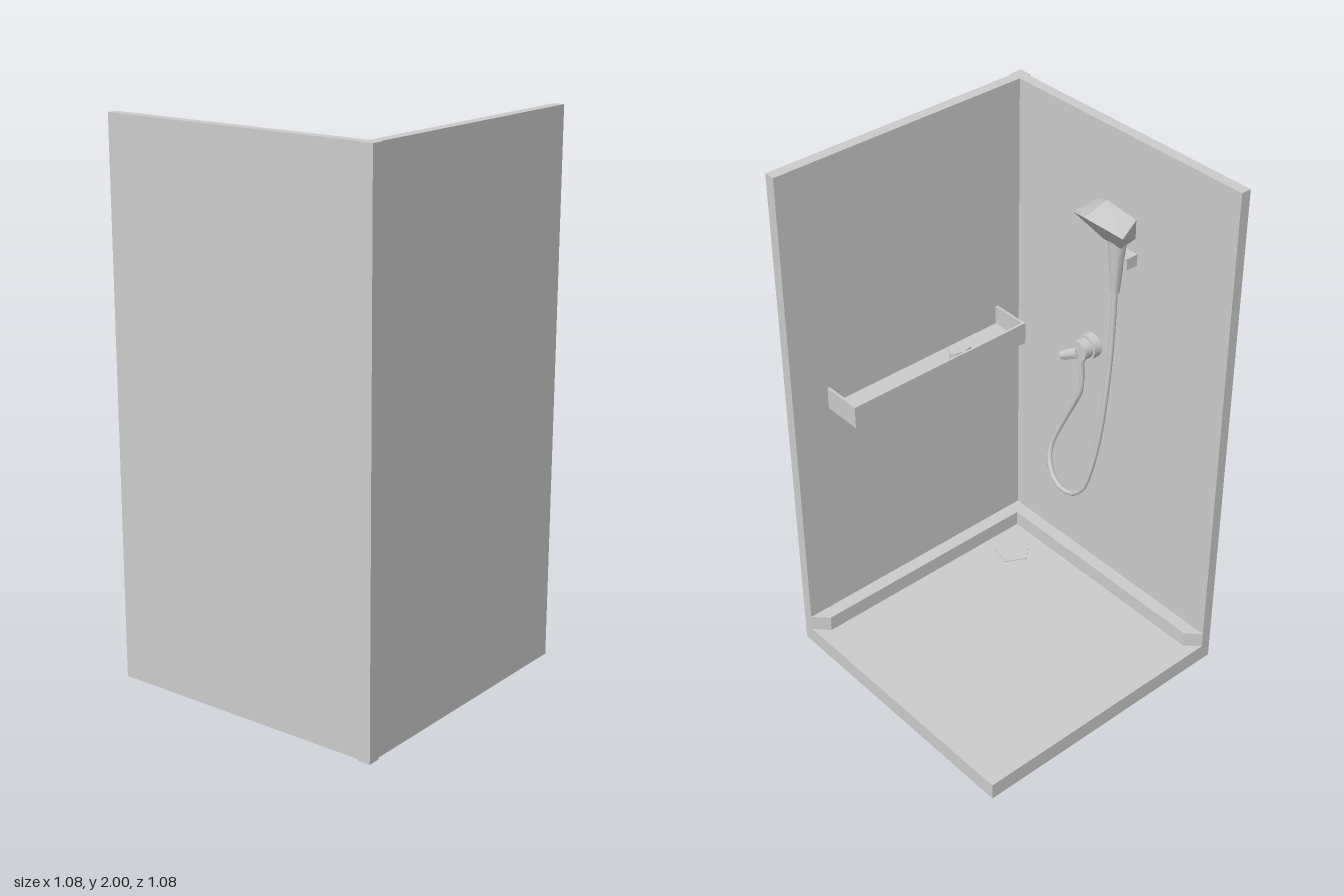
import * as THREE from 'three';
import { toCreasedNormals } from 'three/addons/utils/BufferGeometryUtils.js';
import { ConvexGeometry } from 'three/addons/geometries/ConvexGeometry.js';

const V = (x, y, z) => new THREE.Vector3(x, y, z);

export function createModel() {
  const model = new THREE.Group();
  model.name = 'showerCorner';
  const material = new THREE.MeshStandardMaterial({ color: 0xcccccc });

  const add = (name, geometry, parent = model) => {
    const mesh = new THREE.Mesh(geometry, material);
    mesh.name = name;
    parent.add(mesh);
    return mesh;
  };
  const box = (name, [x0, x1], [y0, y1], [z0, z1], parent) => {
    const mesh = add(name, new THREE.BoxGeometry(x1 - x0, y1 - y0, z1 - z0), parent);
    mesh.position.set((x0 + x1) / 2, (y0 + y1) / 2, (z0 + z1) / 2);
    return mesh;
  };
  // Tapered rod between two points
  const rod = (name, a, b, rA, rB, sides, parent) => {
    const g = new THREE.CylinderGeometry(rB, rA, a.distanceTo(b), sides);
    const mesh = add(name, toCreasedNormals(g, 0.9), parent);
    mesh.position.copy(a).lerp(b, 0.5);
    mesh.quaternion.setFromUnitVectors(V(0, 1, 0), b.clone().sub(a).normalize());
    return mesh;
  };
  // Horizontal slab from an outline of [x, z] points
  const slab = (name, outline, y, height) => {
    const shape = new THREE.Shape(outline.map(([x, z]) => new THREE.Vector2(x, -z)));
    const g = new THREE.ExtrudeGeometry(shape, { depth: height, bevelEnabled: false });
    add(name, g.rotateX(-Math.PI / 2)).position.y = y;
  };
  const polygon = (n, cx, cz, rx, rz, turn) => Array.from({ length: n }, (_, i) => {
    const a = turn + (i / n) * Math.PI * 2;
    return [cx + rx * Math.cos(a), cz + rz * Math.sin(a)];
  });

  // Floor, walls and corner post
  box('floor', [-0.534, 0.538], [0, 0.066], [-0.54, 0.533]);
  box('frontWall', [-0.495, 0.538], [0, 2], [0.492, 0.533]);
  box('sideWall', [-0.534, -0.495], [0, 2], [-0.54, 0.492]);
  box('cornerPost', [-0.542, -0.495], [0, 2], [0.492, 0.54]);

  // L-shaped skirting with angled ends, and floor drain
  slab('skirting', [[-0.495, -0.54], [-0.495, 0.492], [0.538, 0.492],
    [0.487, 0.44], [-0.445, 0.44], [-0.445, -0.49]], 0.066, 0.062);
  slab('drain', polygon(5, -0.323, 0.329, 0.073, 0.073, -0.454), 0.066, 0.004);

  // Shelf tray with a bar of soap
  const shelf = new THREE.Group();
  shelf.name = 'shelf';
  model.add(shelf);
  const [y0, y1] = [1.03, 1.117];
  box('shelfBottom', [-0.39, 0.39], [y0, y0 + 0.012], [0.338, 0.492], shelf);
  box('shelfLip', [-0.39, 0.39], [y0, y1], [0.338, 0.347], shelf);
  for (const s of [-1, 1]) {
    const x = s * 0.3855;
    box('shelfEnd', [x - 0.0045, x + 0.0045], [y0, y1], [0.338, 0.492], shelf);
  }
  slab('soap', polygon(8, -0.155, 0.43, 0.05, 0.028, 0), y0 + 0.012, 0.025);

  // Five-sided shower head: larger spray face, smaller back
  const cz = -0.065;
  const loop = rows => rows.flatMap(([x, y, w]) =>
    w ? [V(x, y, cz + w), V(x, y, cz - w)] : [V(x, y, cz)]);
  const face = loop([[-0.28, 1.785, 0], [-0.343, 1.73, 0.118], [-0.415, 1.63, 0.042]]);
  const back = loop([[-0.385, 1.81, 0], [-0.428, 1.758, 0.093], [-0.478, 1.645, 0.045]]);
  add('showerHead', new ConvexGeometry([...face, ...back]));

  // Handle and its wall bracket
  const hoseTop = V(-0.437, 1.43, cz);
  rod('handle', hoseTop, V(-0.438, 1.65, cz), 0.016, 0.035, 12);
  box('bracket', [-0.495, -0.447], [1.53, 1.575], [-0.106, -0.022]);

  // Mixer: wall plate, knob and lever
  const plate = V(-0.495, 1.105, 0.095);
  rod('valvePlate', plate, V(-0.461, 1.105, 0.095), 0.049, 0.049, 16);
  rod('valveKnob', plate, V(-0.423, 1.105, 0.095), 0.04, 0.04, 16);
  rod('lever', V(-0.435, 1.095, 0.1), V(-0.412, 1.058, 0.163), 0.024, 0.018, 10);
  rod('valveOutlet', V(-0.44, 1.08, 0.095), V(-0.44, 1.0, 0.09), 0.014, 0.011, 8);

  // Hanging hose
  const path = new THREE.CatmullRomCurve3([
    hoseTop, V(-0.43, 1.2, -0.065), V(-0.415, 1.0, -0.063), V(-0.4, 0.8, -0.05),
    V(-0.385, 0.64, -0.025), V(-0.378, 0.55, 0.005), V(-0.376, 0.495, 0.065),
    V(-0.38, 0.495, 0.145), V(-0.4, 0.55, 0.207), V(-0.42, 0.615, 0.22),
    V(-0.44, 0.72, 0.187), V(-0.445, 0.85, 0.127), V(-0.442, 0.93, 0.092), V(-0.44, 1.04, 0.09),
  ]);
  add('hose', new THREE.TubeGeometry(path, 40, 0.01, 8));

  return model;
}
